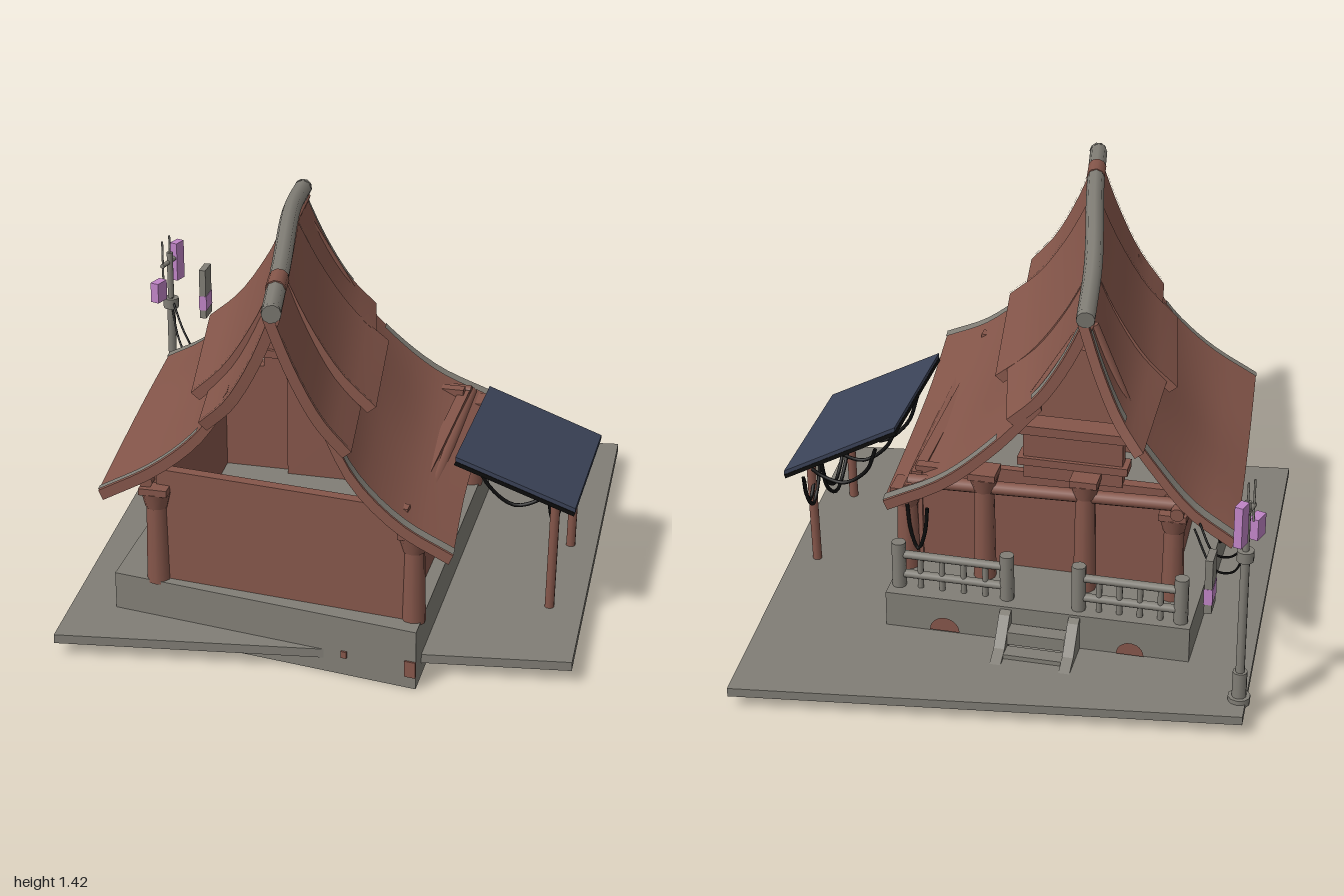
import * as THREE from 'three';
import { mergeGeometries } from 'three/addons/utils/BufferGeometryUtils.js';

const V = (p) => new THREE.Vector3(...p);

export function createModel() {
  const root = new THREE.Group();
  const mat = (name, color) => {
    const m = new THREE.MeshStandardMaterial({ color, side: THREE.DoubleSide });
    m.name = name;
    return m;
  };
  const brown = mat('red brown wood', 0x85564a), grey = mat('grey stone', 0x817e76);
  const navy = mat('navy panel', 0x3c4459), black = mat('black rubber', 0x0d0d0d);
  const pink = mat('pink signal plate', 0xc084c6);

  const add = (name, geo, m) => {
    const mesh = new THREE.Mesh(geo, m);
    mesh.name = name;
    root.add(mesh);
    return mesh;
  };
  const box = (name, m, w, h, d, x, y, z, ry = 0) => {
    const b = add(name, new THREE.BoxGeometry(w, h, d), m);
    b.position.set(x, y, z);
    b.rotation.y = ry;
    return b;
  };
  // Upright prism on a footprint of [x, z] corners
  const prism = (name, m, foot, y0, y1) => {
    const shape = new THREE.Shape(foot.map(([x, z]) => new THREE.Vector2(x, -z)));
    const g = new THREE.ExtrudeGeometry(shape, { depth: y1 - y0, bevelEnabled: false });
    return add(name, g.rotateX(-Math.PI / 2).translate(0, y0, 0), m);
  };
  // Round bar between two points
  const bar = (name, m, a, b, r, r2 = r) => {
    const p = V(a), q = V(b), d = q.clone().sub(p);
    const mesh = add(name, new THREE.CylinderGeometry(r2, r, d.length(), 10), m);
    mesh.position.copy(p).add(q).multiplyScalar(0.5);
    mesh.quaternion.setFromUnitVectors(new THREE.Vector3(0, 1, 0), d.normalize());
  };
  const tube = (name, m, pts, r) =>
    add(name, new THREE.TubeGeometry(new THREE.CatmullRomCurve3(pts.map(V)), 20, r, 8), m);
  const loop = (a, b, low, r = 0.007) => {
    const at = (t, y) => [a[0] + (b[0] - a[0]) * t, y, a[2] + (b[2] - a[2]) * t];
    tube('hangingCable', black, [a, at(0.15, low + (a[1] - low) * 0.4), at(0.5, low), at(0.85, low + (b[1] - low) * 0.4), b], r);
  };
  // Grid surface over f(u, v)
  const grid = (f, nu, nv) => {
    const pos = [], idx = [];
    for (let i = 0; i <= nu; i++) for (let j = 0; j <= nv; j++) pos.push(...f(i / nu, j / nv).toArray());
    for (let i = 0; i < nu; i++) for (let j = 0; j < nv; j++) {
      const a = i * (nv + 1) + j, b = a + nv + 1;
      idx.push(a, a + 1, b, b, a + 1, b + 1);
    }
    const g = new THREE.BufferGeometry();
    g.setAttribute('position', new THREE.Float32BufferAttribute(pos, 3));
    g.setIndex(idx);
    g.computeVertexNormals();
    return g;
  };
  // Thick sheet through stations of profile points; in = offset to the lower face
  const sheet = (name, m, stations, inn) => {
    const curves = stations.map((s) => new THREE.CatmullRomCurve3(s.map(V)));
    const P = (u, v) => new THREE.CatmullRomCurve3(curves.map((c) => c.getPoint(v))).getPoint(u);
    const o = V(inn), Q = (u, v) => P(u, v).add(o);
    const mix = (u, v, t) => P(u, v).addScaledVector(o, t);
    // wind every face outwards whichever side the slope falls to
    const flip = P(0.5, 1).sub(P(0.5, 0)).cross(P(1, 0.5).sub(P(0, 0.5))).dot(o) > 0;
    const G = (f, a, b, rev) => (rev !== flip ? grid((u, v) => f(1 - u, v), a, b) : grid(f, a, b));
    add(name, mergeGeometries([
      G(P, 10, 10, false), G(Q, 10, 10, true),
      G((t, v) => mix(0, v, t), 1, 10, true), G((t, v) => mix(1, v, t), 1, 10, false),
      G((u, t) => mix(u, 0, t), 10, 1, true), G((u, t) => mix(u, 1, t), 10, 1, false),
    ]), m);
    // worn grey strip lying on the sheet
    return (u0, u1, v0, v1) => add('wornEdge', G((u, v) =>
      P(u0 + (u1 - u0) * u, v0 + (v1 - v0) * v).addScaledVector(o, -0.12), 2, 10, false), grey);
  };

  // Ground slab and skewed plinth
  prism('groundSlab', grey, [[-0.93, -0.76], [-0.84, 0.98], [0.94, 0.75], [0.85, -1]], 0.05, 0.083);
  prism('plinth', grey, [[-0.69, -0.47], [-0.69, 0.74], [0.43, 0.91], [0.42, -0.48]], 0, 0.22);
  for (const [x, r] of [[-0.48, 0.05], [0.2, 0.055]]) {
    const g = new THREE.CircleGeometry(r, 12, 0, Math.PI).rotateY(Math.PI);
    add('rustPatch', g.translate(x, 0.09, -0.485), brown);
  }
  box('rustPatch', brown, 0.04, 0.06, 0.008, 0.41, 0.075, 0.91, -0.15);
  box('rustPatch', brown, 0.02, 0.025, 0.008, 0.17, 0.08, 0.874, -0.15);

  // Back steps: sloped stringers with two treads
  for (const x of [-0.275, -0.025]) {
    const s = new THREE.Shape([[0.45, 0.22], [0.5, 0.2], [0.58, 0.11], [0.65, 0.08], [0.65, 0.01], [0.45, 0.01]]
      .map((p) => new THREE.Vector2(...p)));
    const g = new THREE.ExtrudeGeometry(s, { depth: 0.04, bevelEnabled: false });
    add('stairStringer', g.rotateY(Math.PI / 2).translate(x - 0.02, 0, 0), grey);
  }
  box('stairTread', grey, 0.22, 0.05, 0.06, -0.15, 0.13, -0.51);
  box('stairTread', grey, 0.22, 0.02, 0.06, -0.15, 0.09, -0.57);

  // Back railings
  for (const [x0, x1, z] of [[-0.65, -0.28, -0.425], [-0.015, 0.385, -0.415]]) {
    for (const x of [x0, x1]) bar('railPost', grey, [x, 0.2, z], [x, 0.4, z], 0.026);
    for (const y of [0.27, 0.35]) bar('railBar', grey, [x0 - 0.02, y, z], [x1 + 0.02, y, z], 0.016);
    for (let i = 1; i < 5; i++) {
      const x = x0 + (x1 - x0) * i / 5;
      bar('baluster', grey, [x, 0.22, z], [x, 0.35, z], 0.011);
    }
  }

  // Walls: front, two sides, and a back with a doorway
  prism('frontWall', brown, [[-0.53, 0.69], [-0.53, 0.73], [0.38, 0.83], [0.38, 0.79]], 0.22, 0.64);
  prism('rightWall', brown, [[0.34, -0.25], [0.34, 0.8], [0.38, 0.8], [0.38, -0.25]], 0.22, 0.6);
  prism('leftWall', brown, [[-0.59, -0.25], [-0.55, 0.72], [-0.51, 0.72], [-0.55, -0.25]], 0.22, 0.62);
  box('backWall', brown, 0.3, 0.42, 0.04, -0.44, 0.43, -0.22);
  box('backWall', brown, 0.27, 0.4, 0.04, 0.23, 0.42, -0.22);
  box('door', brown, 0.4, 0.4, 0.03, -0.1, 0.42, -0.18);
  box('doorHeader', brown, 0.36, 0.2, 0.05, -0.215, 0.73, -0.22);
  box('doorBeam', brown, 0.4, 0.035, 0.09, -0.215, 0.83, -0.22);
  box('doorBeam', brown, 0.4, 0.03, 0.08, -0.215, 0.7, -0.22);

  // Posts with flared capitals
  for (const [x, z, h] of [[0.4, 0.81, 0.5], [-0.53, 0.73, 0.52], [0.39, -0.27, 0.5], [-0.59, -0.27, 0.52],
    [-0.27, -0.28, 0.62], [0.1, -0.28, 0.6]]) {
    bar('post', brown, [x, 0.21, z], [x, h, z], 0.042, 0.036);
    bar('capital', brown, [x, h - 0.02, z], [x, h + 0.04, z], 0.04, 0.055);
    box('capitalBlock', brown, 0.1, 0.025, 0.1, x, h + 0.05, z);
  }
  // Eave beams and rafters
  bar('eaveBeam', brown, [0.41, 0.57, 0.88], [0.37, 0.56, -0.32], 0.025);
  bar('eaveBeam', brown, [-0.56, 0.6, 0.76], [-0.61, 0.6, -0.34], 0.025);
  bar('crossBeam', brown, [-0.6, 0.61, -0.28], [0.38, 0.58, -0.28], 0.025);
  bar('rafter', brown, [-0.26, 1.26, -0.24], [0.02, 0.8, -0.26], 0.022);
  bar('rafter', brown, [-0.28, 1.26, -0.24], [-0.5, 0.75, -0.26], 0.022);

  // Upper roof tier: three overlapping curved sheets on each side
  const slope = (r, e) => [[0, 0], [0.3, 0.42], [0.64, 0.77], [1, 1]].map(([a, b]) =>
    [r[0] + (e[0] - r[0]) * a, r[1] + (e[1] - r[1]) * b, r[2] + (e[2] - r[2]) * a]);
  const ridge = [[-0.04, 1.375, 0.99], [-0.105, 1.385, 0.62], [-0.225, 1.36, 0.02], [-0.27, 1.32, -0.31]];
  const eaves = {
    1: [[[0.22, 0.9, 0.97], [0.17, 0.9, 0.62]], [[0.225, 0.91, 0.63], [0.13, 0.885, 0.01]], [[0.09, 0.92, 0.03], [0.01, 0.89, -0.31]]],
    '-1': [[[-0.33, 0.9, 0.87], [-0.37, 0.9, 0.62]], [[-0.43, 0.89, 0.62], [-0.54, 0.92, 0.01]], [[-0.5, 0.94, 0.03], [-0.5, 0.88, -0.42]]],
  };
  for (const side of [1, -1]) eaves[side].forEach(([a, b], i) => {
    const worn = sheet('upperRoof', brown, [slope(ridge[i], a), slope(ridge[i + 1], b)], [-0.03 * side, -0.025, 0]);
    if (i === 0) worn(0, 0.07, 0.15, 0.95);
    if (i === 1) worn(0, 0.035, 0.4, 1);
    if (i === 2) { worn(0.92, 1, 0, 0.7); worn(0, 0.06, 0, 0.35); }
  });

  // Lower roof tier: one sweeping sheet on each side
  const right = sheet('lowerRoofRight', brown, [
    [[0.1, 1.02, 0.92], [0.22, 0.79, 0.93], [0.38, 0.64, 0.94], [0.56, 0.55, 0.95]],
    [[0.04, 1.0, 0.5], [0.17, 0.78, 0.5], [0.33, 0.63, 0.5], [0.51, 0.545, 0.5]],
    [[-0.03, 0.99, 0.05], [0.12, 0.79, 0.04], [0.28, 0.63, 0.03], [0.475, 0.54, 0.02]],
    [[-0.1, 0.97, -0.3], [0.06, 0.79, -0.32], [0.24, 0.64, -0.35], [0.45, 0.54, -0.38]],
  ], [-0.015, -0.035, 0]);
  right(0, 0.035, 0.2, 1);
  right(0.96, 1, 0.3, 1);
  const left = sheet('lowerRoofLeft', brown, [
    [[-0.23, 1.02, 0.86], [-0.36, 0.83, 0.83], [-0.52, 0.69, 0.82], [-0.71, 0.58, 0.82]],
    [[-0.31, 1.0, 0.4], [-0.43, 0.83, 0.4], [-0.58, 0.68, 0.4], [-0.755, 0.575, 0.4]],
    [[-0.37, 1.0, 0], [-0.5, 0.83, 0], [-0.64, 0.68, 0], [-0.795, 0.57, 0]],
    [[-0.4, 0.98, -0.35], [-0.53, 0.81, -0.36], [-0.67, 0.66, -0.38], [-0.83, 0.565, -0.4]],
  ], [0.015, -0.035, 0]);
  left(0, 0.025, 0.3, 1);
  left(0.96, 1, 0.2, 1);

  // Ridge pole with end caps and a bare patch
  tube('ridgePole', grey, ridge, 0.033);
  bar('ridgeCap', grey, [-0.04, 1.375, 0.985], [-0.036, 1.374, 1.0], 0.033);
  bar('ridgeCap', grey, [-0.268, 1.322, -0.3], [-0.272, 1.318, -0.325], 0.033);
  bar('ridgePatch', brown, [-0.07, 1.383, 0.82], [-0.085, 1.385, 0.72], 0.035);

  // Solar panel, frame and two legs
  const quad = (y) => [[[0.48, 0.69 + y, -0.11], [0.885, 0.5 + y, -0.19]], [[0.475, 0.69 + y, 0.5], [0.885, 0.5 + y, 0.42]]];
  sheet('solarPanel', navy, quad(0), [0, -0.016, 0]);
  sheet('panelFrame', black, quad(-0.017), [-0.005, -0.014, 0]);
  for (const z of [0.38, -0.1]) bar('panelLeg', brown, [0.8, 0.07, z], [0.81, 0.51, z], 0.017);

  // Cables below the panel and the left eave
  [[0.28, -0.1, 0.28], [0.25, -0.07, 0.31], [-0.05, -0.24, 0.35], [-0.08, -0.22, 0.37]].forEach(([a, b, y], i) =>
    loop([0.77 + i * 0.01, 0.5, a], [0.77 + i * 0.01, 0.5, b], y));
  [0.41, 0.44, 0.46].forEach((y, i) => loop([0.5 + i * 0.02, 0.62, 0.28 - i * 0.22], [0.79, 0.5, 0.25 - i * 0.2], y));
  [0.3, 0.34, 0.37].forEach((y, i) => {
    loop([-0.73 + i * 0.03, 0.55, -0.12], [-0.7 + i * 0.03, 0.55, 0.16], y);
    loop([-0.67 + i * 0.04, 0.56, 0.14], [-0.62 + i * 0.03, 0.56, 0.42], y + 0.04);
  });
  loop([0.38, 0.5, -0.31], [0.3, 0.5, -0.33], 0.32);

  // Signal mast with pink plates
  const mx = -0.9, mz = -0.655;
  bar('mastFoot', grey, [mx, 0.07, mz], [mx, 0.1, mz], 0.04);
  bar('mastBase', grey, [mx, 0.08, mz], [mx, 0.2, mz], 0.026);
  bar('mast', grey, [mx, 0.2, mz], [mx, 0.66, mz], 0.016);
  bar('mastCollar', grey, [mx, 0.65, mz], [mx, 0.69, mz], 0.03);
  bar('mastTop', grey, [mx, 0.68, mz], [mx, 0.88, mz], 0.012);
  bar('mastArm', grey, [-0.915, 0.84, -0.6], [-0.89, 0.84, -0.72], 0.009);
  bar('aerial', grey, [mx, 0.86, mz], [mx, 0.95, mz], 0.004);
  bar('aerial', grey, [-0.915, 0.78, -0.61], [-0.915, 0.94, -0.61], 0.004);
  box('signalPlate', pink, 0.035, 0.08, 0.06, -0.925, 0.745, -0.58, -0.3);
  box('signalPlate', pink, 0.03, 0.155, 0.05, -0.89, 0.825, -0.72, -0.3);
  box('hangingBox', grey, 0.026, 0.205, 0.08, -0.81, 0.658, -0.825);
  box('boxStripe', pink, 0.03, 0.06, 0.082, -0.81, 0.62, -0.825);
  tube('mastWire', black, [[mx, 0.68, mz], [-0.85, 0.55, -0.58], [-0.76, 0.49, -0.47], [-0.68, 0.58, -0.38]], 0.004);
  tube('mastWire', black, [[mx, 0.7, mz], [-0.83, 0.6, -0.57], [-0.76, 0.56, -0.48], [-0.7, 0.61, -0.39]], 0.004);
  return root;
}
